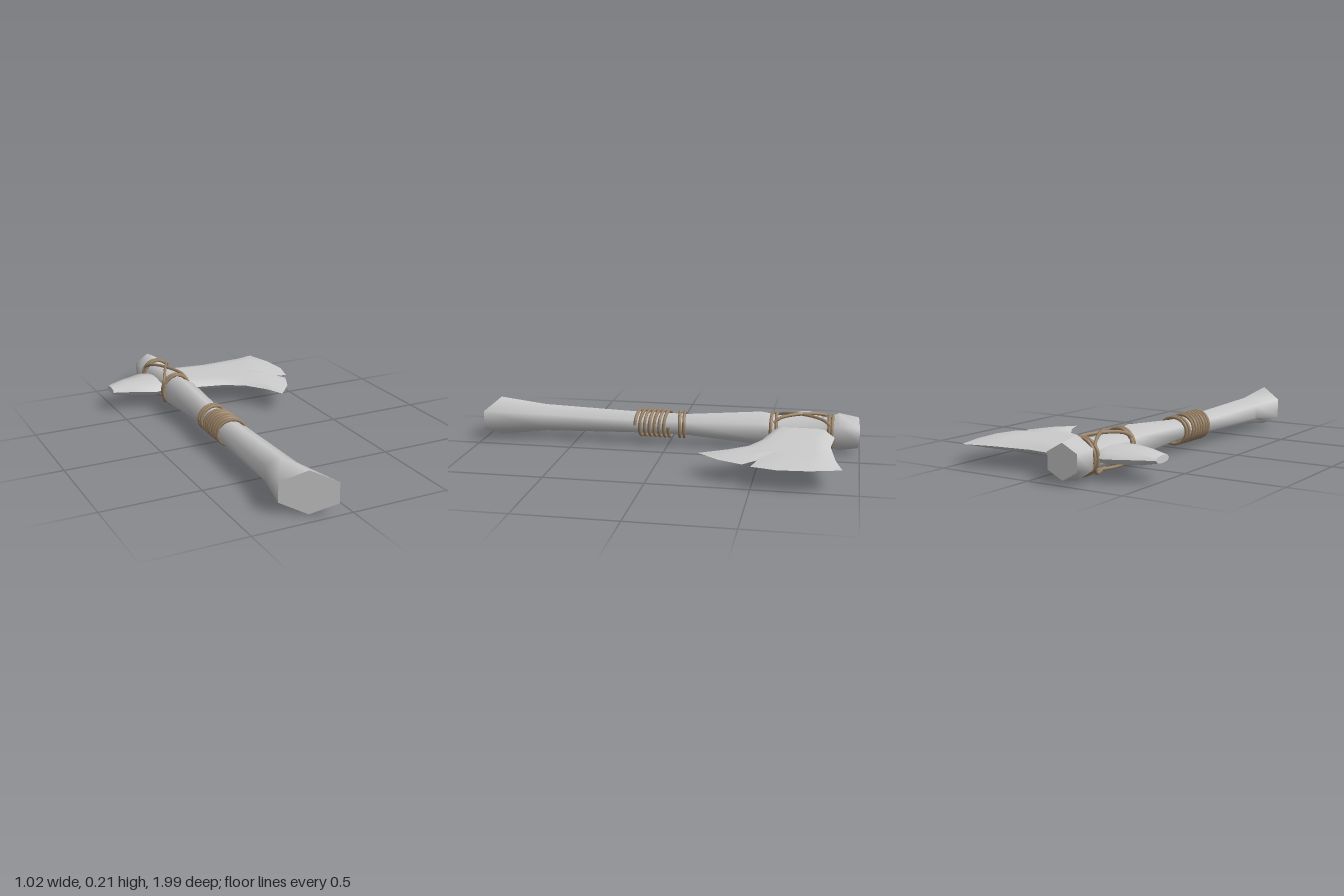
import * as THREE from 'three';
import { toCreasedNormals } from 'three/addons/utils/BufferGeometryUtils.js';

const CX = -0.185, CY = 0.106;
const stone = new THREE.MeshStandardMaterial({ color: 0xcccccc });
const rope = new THREE.MeshStandardMaterial({ color: 0x9c8468 });

function build(positions, index) {
  const g = new THREE.BufferGeometry();
  g.setAttribute('position', new THREE.Float32BufferAttribute(positions, 3));
  g.setIndex(index);
  g.computeVertexNormals();
  return g;
}

// Capped loft along +z; section = [z, centre x, half width, half height, slant]
function loft(sections, outline, crease) {
  const n = outline.length, pos = [], idx = [];
  for (const [z, cx, hw, hh, slant = 0] of sections)
    for (const [u, v] of outline) pos.push(cx + u * hw, CY + v * hh, z + slant * u * hw);
  const last = (sections.length - 1) * n, c0 = sections.length * n;
  const first = sections[0], end = sections[sections.length - 1];
  pos.push(first[1], CY, first[0], end[1], CY, end[0]);
  for (let j = 0; j < n; j++) {
    const k = (j + 1) % n;
    for (let i = 0; i < last; i += n) idx.push(i + j, i + k, i + n + k, i + j, i + n + k, i + n + j);
    idx.push(c0, k, j, c0 + 1, last + j, last + k);
  }
  return toCreasedNormals(build(pos, idx), crease);
}

// Axe blade: stations from the handle to the cutting edge, two lens-shaped faces
function bladeGeometry() {
  const edge = [[0.455, -0.92], [0.475, -0.85], [0.497, -0.767], [0.508, -0.62], [0.476, -0.497],
    [0.376, -0.52], [0.45, -0.455], [0.40, -0.34], [0.36, -0.29], [0.307, -0.228]];
  const across = [0, 0.1, 0.22, 0.43, 0.57, 0.61, 0.68, 0.83, 0.92, 1];
  const profile = [0, 0.8, 1, 1, 1, 1, 1, 1, 0.8, 0];
  // back x, back z, front x, front z, bulge, half thickness
  const stations = [
    [-0.20, -0.83, -0.20, -0.57, 0, 0.029],
    [-0.12, -0.85, -0.12, -0.555, 0, 0.029],
    [-0.07, -0.873, -0.09, -0.542, 0, 0.029],
    [0.10, -0.857, 0.085, -0.50, 0, 0.027],
    [0.31, -0.884, 0.19, -0.434, 0.02, 0.025],
    [0.40, -0.905, 0.265, -0.328, 0.025, 0.024],
  ];
  const rows = stations.map(([x0, z0, x1, z1, bulge, t]) => across.map((v, j) =>
    [x0 + (x1 - x0) * v + bulge * 4 * v * (1 - v), t * profile[j], z0 + (z1 - z0) * v]));
  rows.push(edge.map(([x, z]) => [x, 0, z]));
  const n = across.length, size = n * rows.length, pos = [], idx = [];
  for (const s of [1, -1]) for (const row of rows) for (const [x, y, z] of row) pos.push(x, CY + s * y, z);
  for (let i = 0; i < rows.length - 1; i++) for (let j = 0; j < n - 1; j++) {
    const a = i * n + j, b = a + 1, c = a + n, d = c + 1;
    idx.push(a, b, d, a, d, c);
    idx.push(size + a, size + d, size + b, size + a, size + c, size + d);
  }
  return build(pos, idx);
}

export function createModel() {
  const group = new THREE.Group();
  const add = (name, geometry, material) => {
    const mesh = new THREE.Mesh(geometry, material);
    mesh.name = name;
    group.add(mesh);
    return mesh;
  };

  // Six-sided wooden handle with a notch for the head and a flared, slanted butt
  const hex = [[0, 1], [-1, 0.48], [-1, -0.48], [0, -1], [1, -0.48], [1, 0.48]];
  add('handle', loft([
    [-0.99, -0.184, 0.074, 0.083, -0.1],
    [-0.89, -0.187, 0.082, 0.1],
    [-0.855, -0.185, 0.068, 0.086],
    [-0.81, -0.185, 0.063, 0.074],
    [-0.60, -0.185, 0.063, 0.074],
    [-0.55, -0.185, 0.067, 0.08],
    [-0.49, -0.184, 0.077, 0.09],
    [-0.10, -0.183, 0.057, 0.058],
    [0.20, -0.185, 0.068, 0.059],
    [0.68, -0.189, 0.075, 0.074, 0.2],
    [0.93, CX, 0.118, 0.105, 0.53],
  ], hex, 1.2), stone);

  // Blade and the blunt poll on the opposite side
  add('blade', bladeGeometry(), stone);
  const oct = [[1, 0], [0.8, 0.7], [0.25, 1], [-0.25, 1], [-0.8, 0.7], [-1, 0],
    [-0.8, -0.7], [-0.25, -1], [0.25, -1], [0.8, -0.7]];
  add('poll', loft([
    [0.15, -0.705, 0.125, 0.036],
    [0.25, -0.705, 0.13, 0.036],
    [0.30, -0.708, 0.148, 0.036],
    [0.42, -0.71, 0.09, 0.034],
    [0.512, -0.707, 0.053, 0.017],
  ], oct, 0.95), stone).rotation.y = -Math.PI / 2;

  // Cord windings around the handle
  const cord = (name, points, closed = false) => add(name, new THREE.TubeGeometry(
    new THREE.CatmullRomCurve3(points, closed), points.length * 2, 0.0085, 6, closed), rope);
  const loop = (name, z, rx, ry, tilt) => cord(name, Array.from({ length: 20 }, (_, i) => {
    const a = i / 20 * Math.PI * 2;
    return new THREE.Vector3(CX + rx * Math.cos(a), CY + ry * Math.sin(a), z + tilt * Math.cos(a));
  }), true);

  const turns = 7, steps = 20 * turns;
  cord('gripCord', Array.from({ length: steps + 1 }, (_, i) => {
    const a = i / 20 * Math.PI * 2;
    return new THREE.Vector3(CX + 0.073 * Math.cos(a), CY + 0.068 * Math.sin(a),
      0.165 - 0.18 * i / steps + 0.008 * Math.cos(a));
  }));
  loop('gripLoop', -0.058, 0.072, 0.067, -0.008);
  loop('gripLoop', -0.083, 0.072, 0.067, -0.006);
  for (const [z, tilt] of [[-0.858, 0.002], [-0.838, -0.003], [-0.568, -0.004], [-0.546, 0.003]])
    loop('headLoop', z, 0.077, 0.084, tilt);

  // Crossed lashing above and below the head
  for (const up of [1, -1]) for (const side of [1, -1])
    cord('crossLashing', [[-1, 0.045], [-0.82, 0.068], [-0.5, 0.08], [0, 0.084], [0.5, 0.08], [0.82, 0.068], [1, 0.045]]
      .map(([t, h]) => new THREE.Vector3(CX + side * t * 0.068, CY + up * (h + (side > 0 ? 0.003 : 0)), -0.703 + t * 0.145)));

  return group;
}
